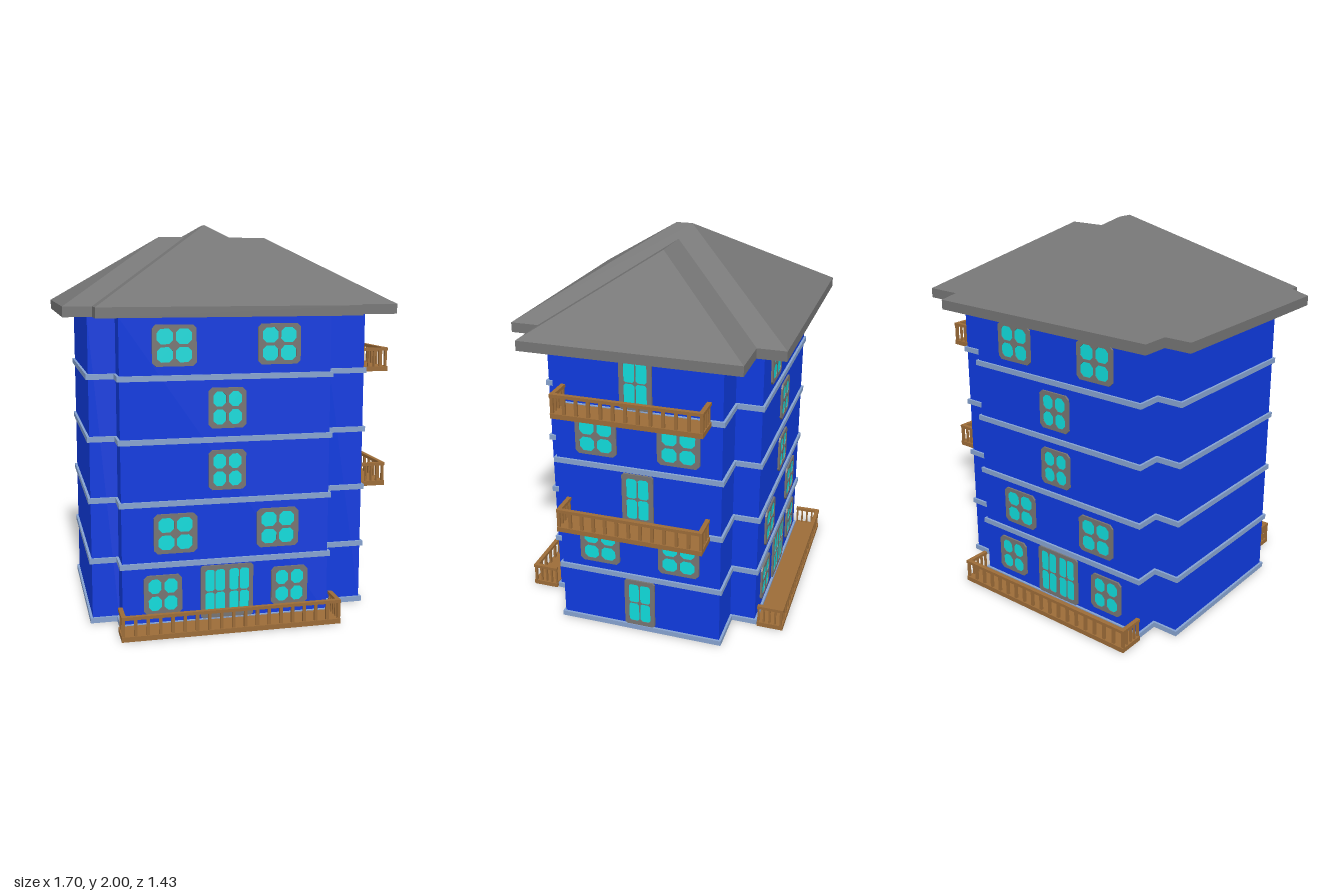
import * as THREE from 'three';

const mat = (name, color, side = THREE.FrontSide) => {
  const m = new THREE.MeshStandardMaterial({ color, side });
  m.name = name;
  return m;
};
const wallBlue = mat('wall blue', 0x0f3be0, THREE.DoubleSide);
const trimBlue = mat('trim pale blue', 0x86a3d0);
const roofGrey = mat('roof grey', 0x757575);
const frameGrey = mat('frame grey', 0x767472);
const glassCyan = mat('glass cyan', 0x10dcdc);
const woodBrown = mat('wood brown', 0x9c6c38);

const STOREY = 0.309, SLAB = 0.027, CX = -0.066;
const Z_LONG = 0.562, X_RIGHT = 0.696;

function add(parent, name, geometry, material, x = 0, y = 0, z = 0) {
  const mesh = new THREE.Mesh(geometry, material);
  mesh.name = name;
  mesh.position.set(x, y, z);
  parent.add(mesh);
  return mesh;
}

// Cross-shaped floor plan, grown outwards by d
function plan(d, Type = THREE.Shape) {
  const x0 = -0.73 - d, x1 = -0.595 - d, x2 = 0.465 + d, x3 = X_RIGHT + d;
  const a = 0.428 + d, b = Z_LONG + d;
  return new Type([
    [x1, -b], [x2, -b], [x2, -a], [x3, -a], [x3, a], [x2, a],
    [x2, b], [x1, b], [x1, a], [x0, a], [x0, -a], [x1, -a],
  ].map(([x, y]) => new THREE.Vector2(x, y)));
}

// Upright ring following the plan
function planRing(outer, inner, height) {
  const shape = plan(outer);
  shape.holes.push(plan(inner, THREE.Path));
  return new THREE.ExtrudeGeometry(shape, { depth: height, bevelEnabled: false }).rotateX(-Math.PI / 2);
}

// Rectangle with cut corners
function cutRect(x0, y0, x1, y1, c, Type = THREE.Shape) {
  return new Type([
    [x0 + c, y0], [x1 - c, y0], [x1, y0 + c], [x1, y1 - c],
    [x1 - c, y1], [x0 + c, y1], [x0, y1 - c], [x0, y0 + c],
  ].map(([x, y]) => new THREE.Vector2(x, y)));
}

// Frame with a grid of panes; cols and rows list [start, end] pairs
function opening(name, w, h, corner, paneCorner, cols, rows) {
  const group = new THREE.Group();
  group.name = name;
  const frame = cutRect(-w / 2, -h / 2, w / 2, h / 2, corner);
  for (const [x0, x1] of cols) for (const [y0, y1] of rows)
    frame.holes.push(cutRect(x0, y0, x1, y1, paneCorner, THREE.Path));
  const geo = new THREE.ExtrudeGeometry(frame, { depth: 0.02, bevelEnabled: false }).translate(0, 0, -0.01);
  add(group, 'frame', geo, frameGrey);
  const gw = cols[cols.length - 1][1] - cols[0][0], gh = rows[rows.length - 1][1] - rows[0][0];
  add(group, 'glass', new THREE.BoxGeometry(gw + 0.004, gh + 0.004, 0.014), glassCyan);
  return group;
}

// Two mirrored spans around the centre
const pair = (inner, outer) => [[-outer, -inner], [inner, outer]];

const windowOf = (w) => opening('window', w, 0.2, 0.018, 0.019, pair(0.007, w / 2 - 0.023), pair(0.007, 0.081));
const singleDoor = () => opening('door', 0.164, 0.272, 0.01, 0.01, pair(0.003, 0.058), pair(0.003, 0.112));
const doubleDoor = () => opening('doubleDoor', 0.27, 0.272, 0.01, 0.01,
  [[-0.113, -0.065], [-0.06, -0.011], [0.011, 0.06], [0.065, 0.113]], pair(0.003, 0.115));

// Balcony centred on x, reaching out along +z
function balcony(length, bars) {
  const group = new THREE.Group();
  group.name = 'balcony';
  const depth = 0.139, height = 0.124, t = 0.016, half = length / 2;
  const box = (name, w, h, d, x, y, z) => add(group, name, new THREE.BoxGeometry(w, h, d), woodBrown, x, y, z);
  box('floor', length, 0.025, depth, 0, 0.0125, depth / 2);
  box('frontRail', length, t, 0.022, 0, height - t / 2, depth - 0.011);
  for (let i = 0; i <= bars; i++)
    box('baluster', t, height - t - 0.02, 0.012, -half + t / 2 + i * (length - t) / bars, (height - t + 0.02) / 2, depth - 0.011);
  for (const s of [-1, 1]) {
    box('sideRail', 0.022, t, depth - 0.022, s * (half - 0.011), height - t / 2, (depth - 0.022) / 2);
    for (let i = 0; i < 4; i++)
      box('sideBaluster', 0.012, height - t - 0.02, 0.009, s * (half - 0.011), (height - t + 0.02) / 2, 0.006 + i * 0.03);
  }
  return group;
}

// Hipped roof on a thick eave; the ridge runs along the longer side
function hipRoof(name, x, w, d) {
  const group = new THREE.Group();
  group.name = name;
  const rise = Math.min(w, d) / 2 * 0.625, eave = 0.05;
  add(group, 'eave', new THREE.BoxGeometry(w, eave, d), roofGrey, x, 1.545 + eave / 2, 0);
  const geo = new THREE.BoxGeometry(w, rise, d).toNonIndexed();
  const p = geo.attributes.position;
  for (let i = 0; i < p.count; i++) {
    if (p.getY(i) < 0) continue;
    p.setX(i, Math.sign(p.getX(i)) * Math.max(0, (w - d) / 2));
    p.setZ(i, Math.sign(p.getZ(i)) * Math.max(0, (d - w) / 2));
  }
  geo.computeVertexNormals();
  add(group, 'slopes', geo, roofGrey, x, 1.545 + eave + rise / 2, 0);
  return group;
}

export function createModel() {
  const model = new THREE.Group();
  model.name = 'apartmentHouse';

  // Hollow walls and a trim band under every storey
  add(model, 'walls', planRing(0, -0.004, STOREY * 5), wallBlue);
  for (let i = 0; i < 5; i++)
    add(model, 'floorBand', planRing(0.012, -0.012, SLAB), trimBlue, 0, i * STOREY, 0);

  // Two crossing roofs
  model.add(hipRoof('mainRoof', -0.067, 1.295, 1.38));
  model.add(hipRoof('crossRoof', -0.0165, 1.673, 1.094));

  const put = (parent, part, x, y, z) => {
    part.position.set(x, y, z);
    parent.add(part);
  };
  const windowY = (i) => i * STOREY + 0.17;
  const doorY = (i) => i * STOREY + SLAB + 0.138;

  // Matching front and back
  for (const s of [1, -1]) {
    const side = new THREE.Group();
    side.name = s > 0 ? 'frontSide' : 'backSide';
    side.position.x = CX;
    side.rotation.y = s > 0 ? 0 : Math.PI;
    put(side, doubleDoor(), 0, doorY(0), Z_LONG);
    for (const m of [-1, 1]) {
      put(side, windowOf(0.192), m * 0.327, windowY(0), Z_LONG);
      for (const i of [1, 4]) put(side, windowOf(0.217), m * 0.262, windowY(i), Z_LONG);
    }
    for (const i of [2, 3]) put(side, windowOf(0.19), 0, windowY(i), Z_LONG);
    put(side, balcony(1.106, 18), 0, 0, Z_LONG + 0.016);
    model.add(side);
  }

  // Left end with doors and raised balconies
  const end = new THREE.Group();
  end.name = 'leftSide';
  end.rotation.y = Math.PI / 2;
  for (const i of [0, 2, 4]) put(end, singleDoor(), 0, doorY(i), X_RIGHT);
  for (const i of [1, 3]) for (const m of [-1, 1])
    put(end, windowOf(0.215), m * 0.212, windowY(i), X_RIGHT);
  for (const i of [2, 4]) put(end, balcony(0.752, 12), 0, i * STOREY, X_RIGHT + 0.016);
  model.add(end);

  return model;
}
